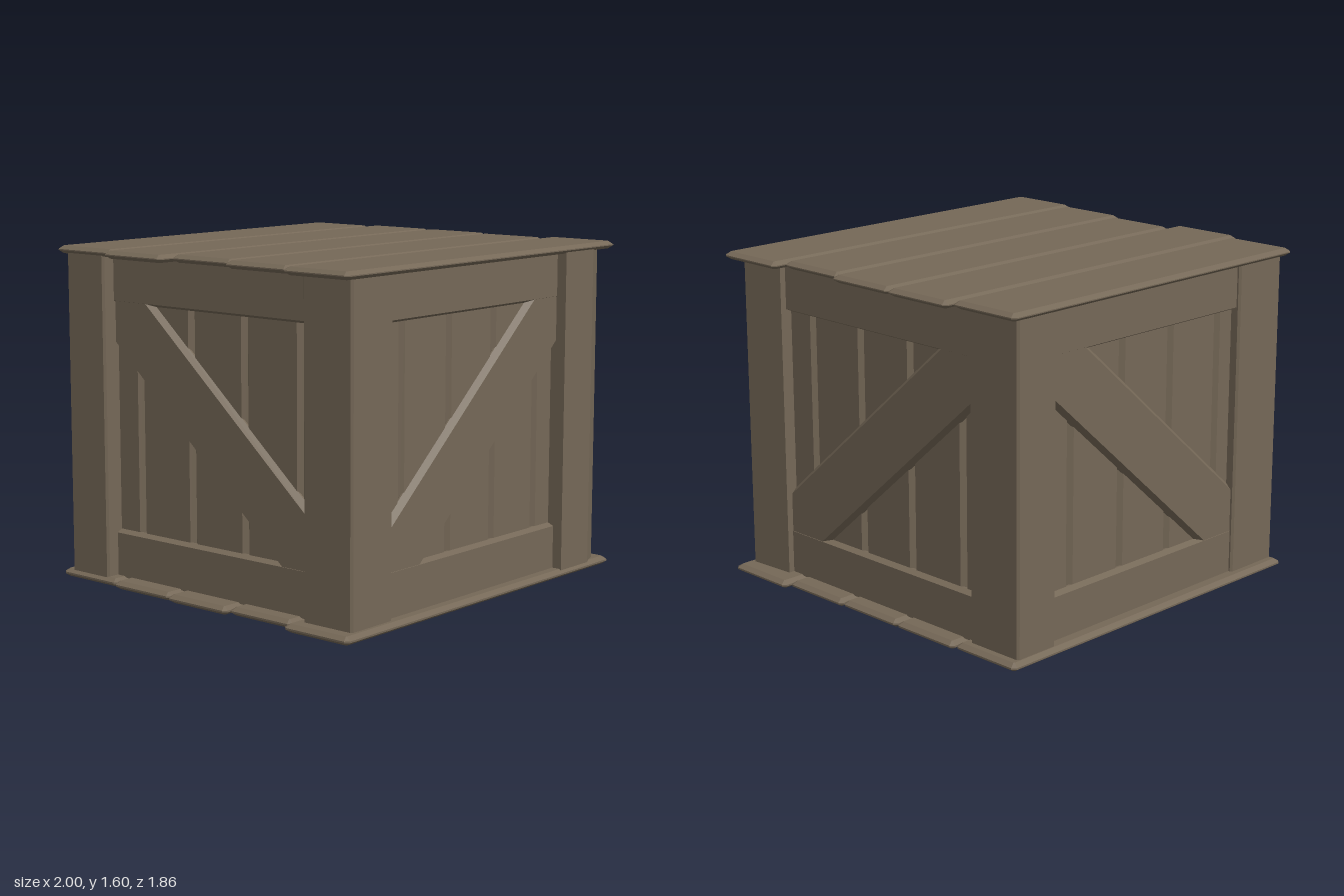
import * as THREE from 'three';

const wood = new THREE.MeshStandardMaterial({ color: 0x756857, flatShading: true });

// Flat board from an outline in x/y, spanning z0..z1, chamfered on both faces
function board(name, points, z0, z1, bevel, bevelDepth) {
  const shape = new THREE.Shape(points.map(([x, y]) => new THREE.Vector2(x, y)));
  const geometry = new THREE.ExtrudeGeometry(shape, {
    depth: z1 - z0 - 2 * bevelDepth,
    bevelEnabled: true,
    bevelSegments: 1,
    bevelSize: bevel,
    bevelOffset: -bevel,
    bevelThickness: bevelDepth,
  });
  geometry.translate(0, 0, z0 + bevelDepth);
  const mesh = new THREE.Mesh(geometry, wood);
  mesh.name = name;
  return mesh;
}

// Board lying flat: outline in x/z, spanning y0..y1
function flatBoard(name, points, y0, y1, bevel, bevelDepth) {
  const mesh = board(name, points.map(([x, z]) => [x, -z]), y0, y1, bevel, bevelDepth);
  mesh.rotation.x = -Math.PI / 2;
  return mesh;
}

const rect = (x0, x1, y0, y1) => [[x0, y0], [x1, y0], [x1, y1], [x0, y1]];

// Rectangle with its corners cut off by c
const cutRect = (x0, x1, y0, y1, c) => [
  [x0 + c, y0], [x1 - c, y0], [x1, y0 + c], [x1, y1 - c],
  [x1 - c, y1], [x0 + c, y1], [x0, y1 - c], [x0, y0 + c],
];

// One wall of the crate, facing +z
function wall(name, mirrored, joints, topRailY) {
  const side = new THREE.Group();
  side.name = name;

  // Upright panel boards with V grooves between them
  const edges = [-0.8, ...joints, 0.8];
  for (let i = 0; i < edges.length - 1; i++) {
    side.add(board('panelBoard', rect(edges[i], edges[i + 1], 0.03, 1.57), 0.77, 0.83, 0.022, 0.022));
  }

  // Rails
  const [x0, x1] = mirrored ? [-0.64, 0.68] : [-0.68, 0.64];
  side.add(board('bottomRail', rect(x0, x1, 0.02, 0.26), 0.79, 0.86, 0.014, 0.03));
  side.add(board('topRail', rect(x0, x1, topRailY, 1.58), 0.79, 0.86, 0.014, 0.03));

  // Diagonal brace, its ends tucked behind the rails and posts
  const outline = [
    [-0.68, 0.2], [-0.445, 0.2], [0.64, 1.15], [0.64, 1.4], [0.44, 1.4], [-0.68, 0.43],
  ];
  const bracePoints = mirrored ? outline.map(([x, y]) => [-x, y]).reverse() : outline;
  side.add(board('brace', bracePoints, 0.79, 0.858, 0.022, 0.03));
  return side;
}

// Layer of five planks running along x; spans lists each plank's ends, back to front
function plankLayer(name, y0, y1, spans) {
  const layer = new THREE.Group();
  layer.name = name;
  spans.forEach(([x0, x1], i) => {
    const z0 = -0.93 + i * 0.371;
    layer.add(flatBoard('plank', cutRect(x0, x1, z0, z0 + 0.371, 0.018), y0, y1, 0.024, 0.016));
  });
  return layer;
}

export function createModel() {
  const crate = new THREE.Group();
  crate.name = 'crate';

  // Four walls, each a quarter turn from the last
  const frontJoints = [-0.525, -0.19, 0.142, 0.473];
  const otherJoints = [-0.483, -0.15, 0.18, 0.513];
  [
    ['frontWall', false, frontJoints, 1.345],
    ['rightHandWall', false, otherJoints, 1.332],
    ['backWall', true, otherJoints, 1.34],
    ['leftHandWall', true, otherJoints, 1.34],
  ].forEach((settings, i) => {
    const side = wall(...settings);
    side.rotation.y = i * Math.PI / 2;
    crate.add(side);
  });

  // Corner posts, slightly uneven; the first has a sloping outer corner
  const posts = {
    frontLeftPost: [[0.605, 0.64], [0.89, 0.64], [0.907, 0.88], [0.83, 0.91], [0.605, 0.91]],
    backLeftPost: cutRect(0.645, 0.882, -0.902, -0.605, 0.01),
    backRightPost: cutRect(-0.922, -0.617, -0.878, -0.63, 0.01),
    frontRightPost: cutRect(-0.922, -0.648, 0.605, 0.885, 0.01),
  };
  for (const [name, points] of Object.entries(posts)) {
    crate.add(flatBoard(name, points, 0.02, 1.58, 0.005, 0.005));
  }

  crate.add(plankLayer('lid', 1.563, 1.6,
    [[-0.94, 0.935], [-0.99, 0.975], [-0.92, 0.97], [-0.965, 0.935], [-1, 0.995]]));
  crate.add(plankLayer('base', 0, 0.04,
    [[-0.94, 0.935], [-0.96, 0.95], [-0.975, 0.95], [-0.95, 0.958], [-1, 0.995]]));
  return crate;
}
